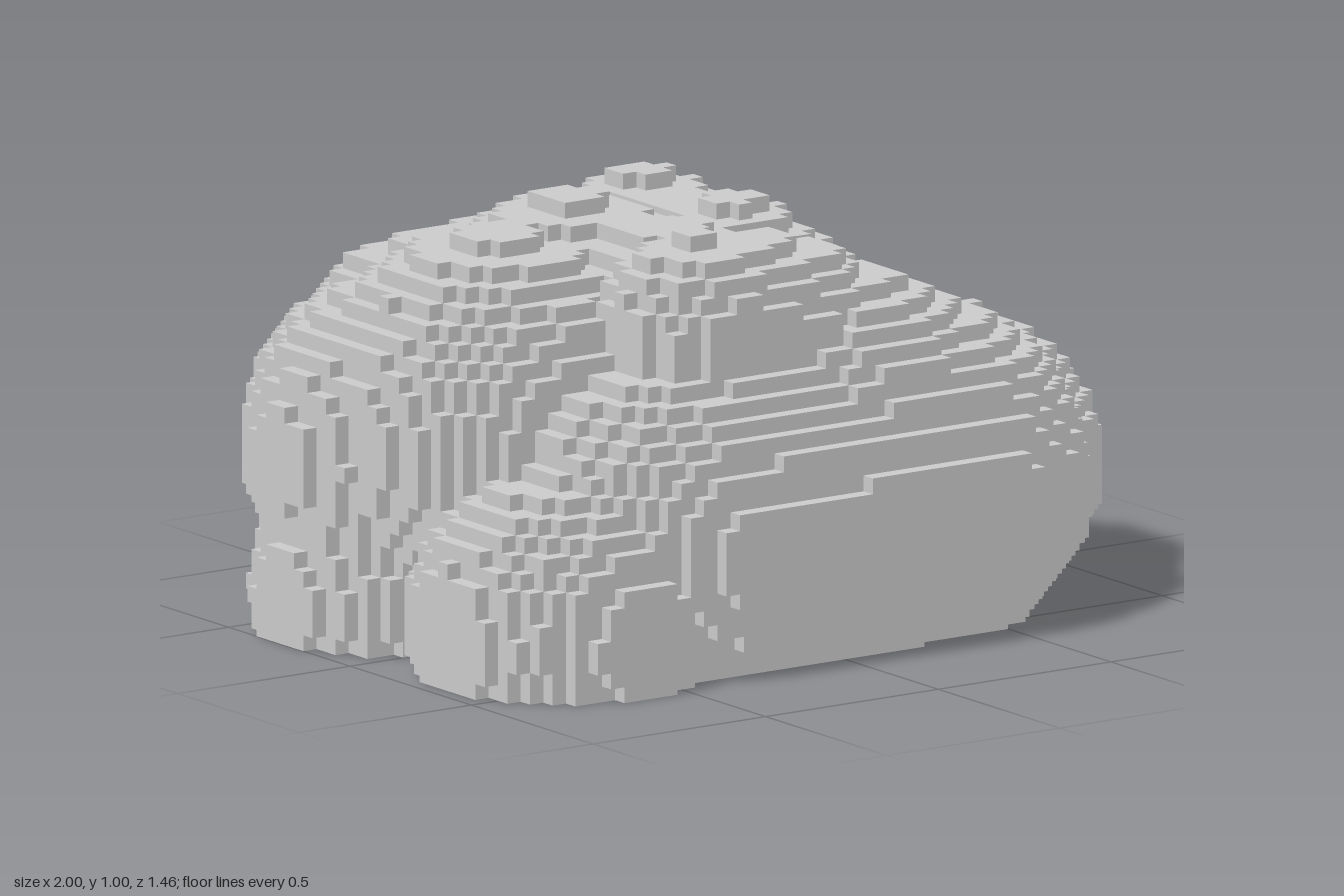
import * as THREE from 'three';

const STEP = 2 / 52;
const SIZE = [52, 26, 38];

// Rounded lobes: start point, end point (same for a ball), radius
const ball = (x, y, z, r) => [[x, y, z], [x, y, z], r];
const LOBES = [
  [[-0.3, 0.3, 0.3], [0.38, 0.34, 0.3], 0.43],        // long front roll
  ball(0.2, 0.46, 0.27, 0.4),                         // front shoulder
  ball(-0.62, 0.13, 0.34, 0.36),                      // low front corner
  ball(0.655, 0.3, 0.1, 0.355),                       // side lobe
  ball(0.54, 0.42, -0.2, 0.3),                        // rear side lobe
  ball(0.46, 0.51, -0.34, 0.278),                     // rear side shoulder
  ball(0.35, 0.1, -0.15, 0.28),                       // low side fill
  ball(-0.47, 0.485, -0.14, 0.468),                   // tall side lobe
  ball(-0.61, 0.44, -0.3, 0.39),                      // rear corner
  ball(-0.6, 0.5, -0.43, 0.3),                        // rear corner bulge
  ball(-0.2, 0.63, -0.23, 0.36),                      // crown
  ball(-0.12, 0.6, 0.04, 0.36),                       // crown middle
  [[-0.2, 0.75, 0.28], [0.06, 0.71, 0.26], 0.235],    // front crown
  [[0.19, 0.74, -0.49], [0.19, 0.74, -0.12], 0.19],   // upper ridge
  ball(0.19, 0.73, -0.49, 0.222),                     // ridge rear knob
  ball(0.19, 0.73, -0.12, 0.222),                     // ridge front knob
  [[-0.5, 0.66, -0.47], [0.19, 0.7, -0.47], 0.212],   // upper rear roll
  ball(-0.67, 0.1, -0.28, 0.335),                     // low rear corner
  ball(-0.3, 0.15, -0.3, 0.33),                       // low rear middle
  ball(0.07, 0.11, -0.37, 0.325),                     // low rear lobe
  [[-0.3, 0.3, 0], [0.25, 0.3, 0], 0.4],              // core
].map(([a, b, r]) => ({
  line: new THREE.Line3(new THREE.Vector3(...a), new THREE.Vector3(...b)), r,
}));

// Cells whose centre lies inside any lobe are solid
function makeCells() {
  const cells = new Set();
  const p = new THREE.Vector3();
  const q = new THREE.Vector3();
  for (let i = 0; i < SIZE[0]; i++)
    for (let j = 0; j < SIZE[1]; j++)
      for (let k = 0; k < SIZE[2]; k++) {
        p.set(i + 0.5 - SIZE[0] / 2, j + 0.5, k + 0.5 - SIZE[2] / 2).multiplyScalar(STEP);
        const solid = LOBES.some(({ line, r }) => {
          if (line.distanceSq() === 0) q.copy(line.start);
          else line.closestPointToPoint(p, true, q);
          return p.distanceTo(q) < r;
        });
        if (solid) cells.add(`${i},${j},${k}`);
      }
  return cells;
}

// Square faces wherever a solid cell meets an empty one
function makeSurface(cells) {
  const positions = [];
  const normals = [];
  const index = [];
  for (const key of cells) {
    const cell = key.split(',').map(Number);
    for (let axis = 0; axis < 3; axis++)
      for (const side of [-1, 1]) {
        const next = [...cell];
        next[axis] += side;
        if (cells.has(next.join(','))) continue;
        const u = (axis + 1) % 3;
        const v = (axis + 2) % 3;
        const base = positions.length / 3;
        for (const [du, dv] of [[0, 0], [1, 0], [1, 1], [0, 1]]) {
          const c = [...cell];
          if (side > 0) c[axis] += 1;
          c[u] += du;
          c[v] += dv;
          positions.push((c[0] - SIZE[0] / 2) * STEP, c[1] * STEP, (c[2] - SIZE[2] / 2) * STEP);
          const n = [0, 0, 0];
          n[axis] = side;
          normals.push(...n);
        }
        const order = side > 0 ? [0, 1, 2, 0, 2, 3] : [0, 2, 1, 0, 3, 2];
        index.push(...order.map((o) => base + o));
      }
  }
  const geometry = new THREE.BufferGeometry();
  geometry.setAttribute('position', new THREE.Float32BufferAttribute(positions, 3));
  geometry.setAttribute('normal', new THREE.Float32BufferAttribute(normals, 3));
  geometry.setIndex(index);
  return geometry;
}

export function createModel() {
  const group = new THREE.Group();
  group.name = 'blockyCloud';
  const grey = new THREE.MeshStandardMaterial({ color: 0xcccccc });
  grey.name = 'grey';
  const body = new THREE.Mesh(makeSurface(makeCells()), grey);
  body.name = 'cloudBody';
  group.add(body);
  return group;
}
